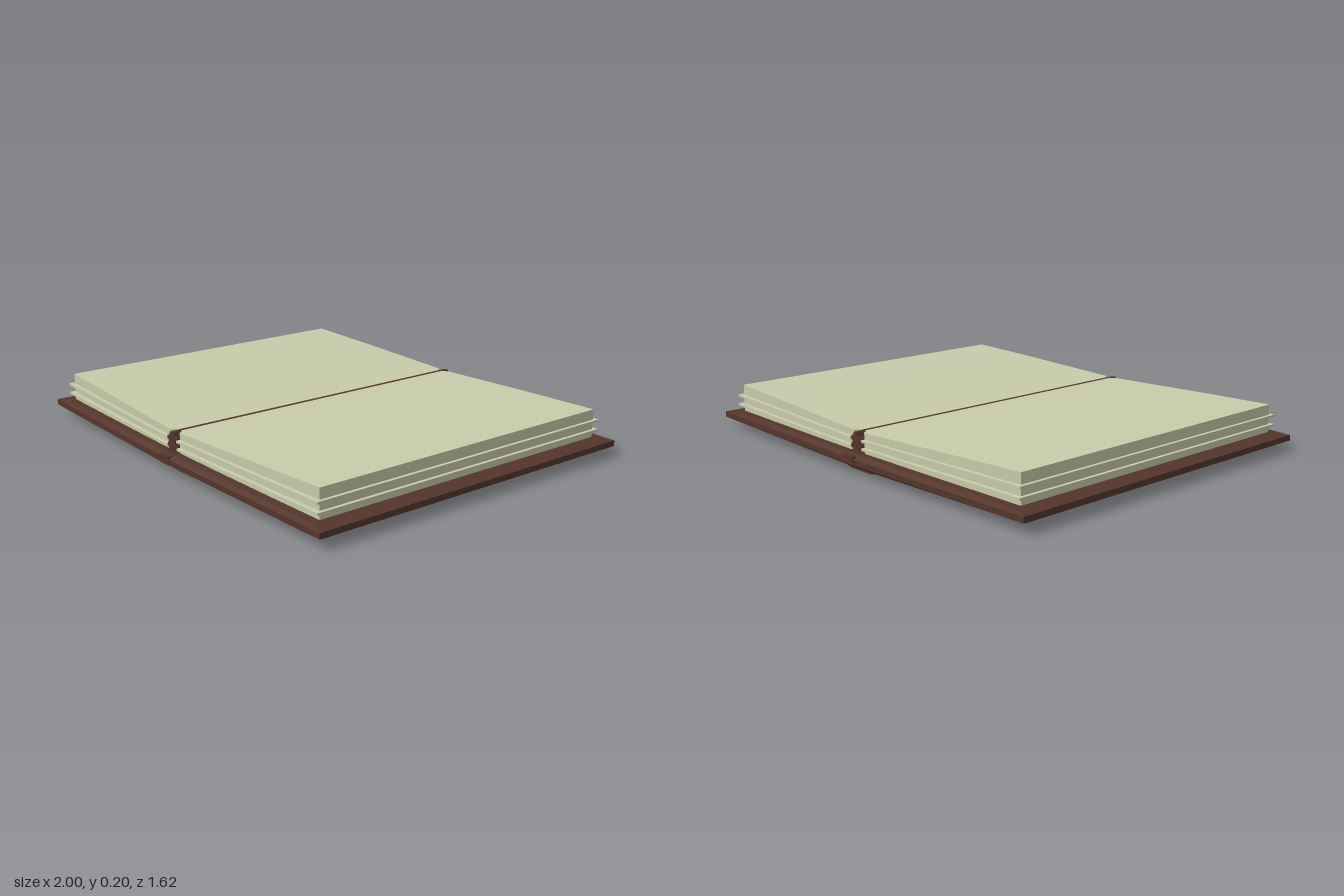
import * as THREE from 'three';

const paper = new THREE.MeshStandardMaterial({ color: 0xc8cbaa, flatShading: true });
const leather = new THREE.MeshStandardMaterial({ color: 0x54352b, flatShading: true });

// Joins cross-sections along x. Each is [x, [[y, z], ...]]: a half outline
// from top to bottom on the +z side, mirrored to -z.
function loft(sections) {
  const rings = sections.map(([x, half]) => [
    ...half.map(([y, z]) => [x, y, z]),
    ...half.slice().reverse().map(([y, z]) => [x, y, -z]),
  ]);
  const pos = [];
  const tri = (a, b, c) => pos.push(...a, ...b, ...c);
  const n = rings[0].length;
  for (let i = 0; i < rings.length - 1; i++) {
    for (let j = 0; j < n; j++) {
      const k = (j + 1) % n;
      tri(rings[i][j], rings[i][k], rings[i + 1][k]);
      tri(rings[i][j], rings[i + 1][k], rings[i + 1][j]);
    }
  }
  const first = rings[0], last = rings[rings.length - 1];
  for (let j = 1; j < n - 1; j++) {
    tri(first[0], first[j + 1], first[j]);
    tri(last[0], last[j], last[j + 1]);
  }
  const geo = new THREE.BufferGeometry();
  geo.setAttribute('position', new THREE.Float32BufferAttribute(pos, 3));
  geo.computeVertexNormals();
  return geo;
}

// The same sections on the other side of the book
const mirrored = (sections) => sections.map(([x, half]) => [-x, half]).reverse();

export function createModel() {
  const group = new THREE.Group();
  const add = (name, geo, mat) => {
    const mesh = new THREE.Mesh(geo, mat);
    mesh.name = name;
    group.add(mesh);
  };

  // Cover boards: bevelled rim, underside sinking towards the spine
  const cover = [
    [0, [[0.08, 0.785], [0.066, 0.81], [0.042, 0.81], [0.014, 0.765]]],
    [0.93, [[0.078, 0.77], [0.069, 0.792], [0.045, 0.792], [0.042, 0.785]]],
    [1, [[0.07, 0.785], [0.069, 0.79], [0.046, 0.79], [0.045, 0.785]]],
  ];
  add('cover', loft([...mirrored(cover), ...cover.slice(1)]), leather);

  // Raised strip under the spine
  const spine = [
    [0.075, [[0.03, 0.75], [0, 0.75]]],
    [0.1, [[0.03, 0.75], [0.014, 0.75]]],
  ];
  add('spine', loft([...mirrored(spine), ...spine]), leather);

  // Small cap at both ends of the spine
  const cap = new THREE.BoxGeometry(0.07, 0.035, 1.624);
  cap.translate(0, 0.06, 0);
  add('spineCap', cap, leather);

  // Ribbed binding between the two page blocks
  const rib = [[0.03, 0.05], [0.035, 0.08], [0.02, 0.095], [0.035, 0.108],
    [0.02, 0.125], [0.035, 0.142], [0.018, 0.152], [0.01, 0.167]];
  const outline = [...rib, ...rib.slice().reverse().map(([x, y]) => [-x, y])];
  const binding = new THREE.ExtrudeGeometry(
    new THREE.Shape(outline.map(([x, y]) => new THREE.Vector2(x, y))),
    { depth: 1.54, bevelEnabled: false });
  binding.translate(0, 0, -0.77);
  add('binding', binding, leather);

  // Page blocks, rising gently towards the outer edges
  const pages = [[0.01, 0.168, 0.725], [0.035, 0.167, 0.752], [0.3, 0.177, 0.748],
    [0.6, 0.189, 0.741], [0.925, 0.2, 0.732]]
    .map(([x, top, z]) => [x, [[top, z], [0.07, z]]]);
  add('leftPages', loft(pages), paper);
  add('rightPages', loft(mirrored(pages)), paper);

  // Loose sheets sticking out of the blocks
  for (const [inner, outer] of [[0.1, 0.108], [0.134, 0.15]]) {
    const sheet = [[0.035, inner, 0.77], [0.4, (inner * 0.6 + outer * 0.4), 0.764], [0.94, outer, 0.752]]
      .map(([x, y, z]) => [x, [[y + 0.005, z], [y - 0.005, z]]]);
    add('leftLooseSheet', loft(sheet), paper);
    add('rightLooseSheet', loft(mirrored(sheet)), paper);
  }
  return group;
}
